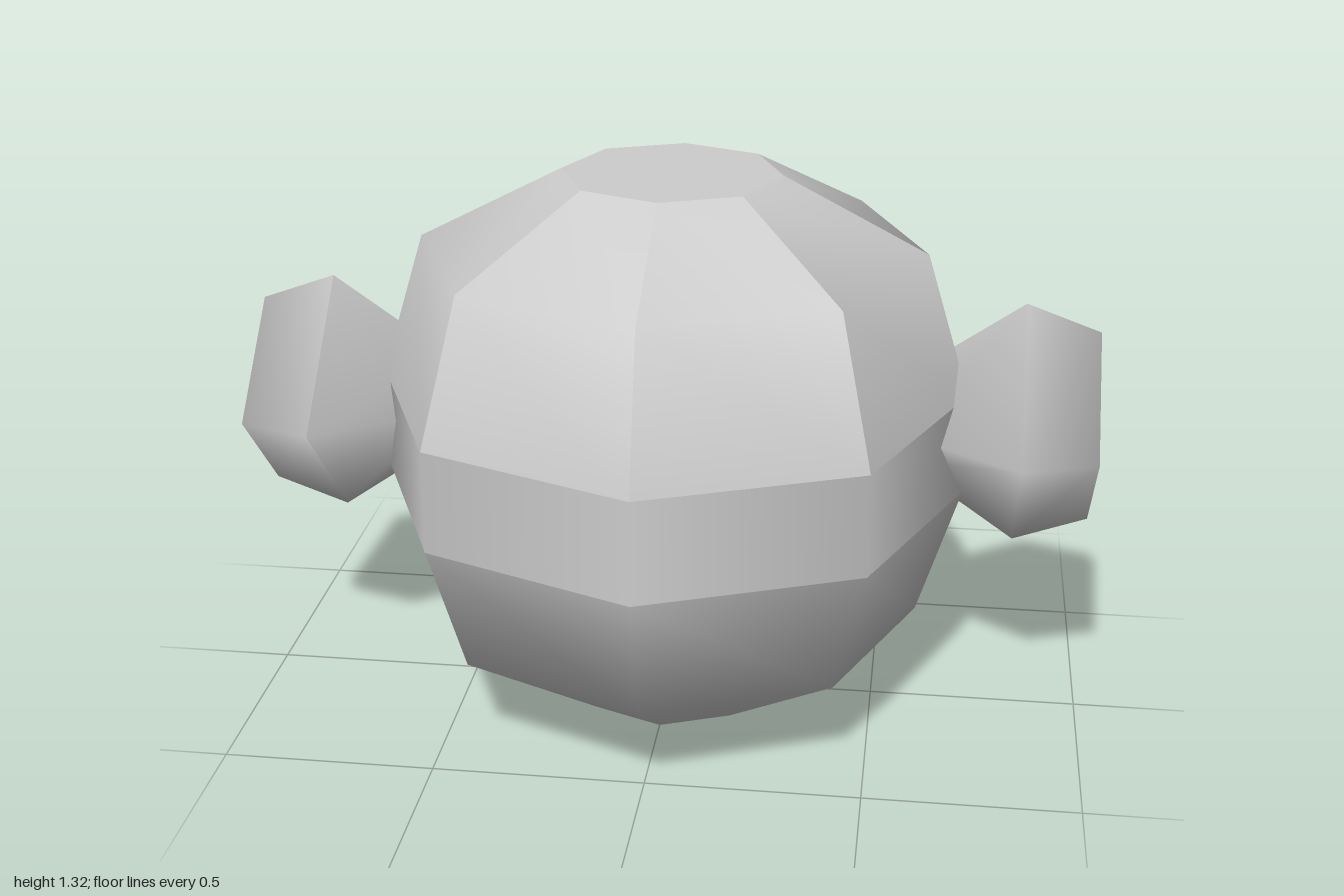
import * as THREE from 'three';

// Lathe from [radius, height] pairs, listed from bottom to top
const lathe = (profile, sides, start = 0, sweep = Math.PI * 2) =>
  new THREE.LatheGeometry(profile.map(([r, y]) => new THREE.Vector2(r, y)), sides, start, sweep);

export function createModel() {
  const model = new THREE.Group();
  const grey = new THREE.MeshStandardMaterial({ color: 0xcccccc });
  grey.name = 'light grey';

  const add = (name, geometry, parent = model) => {
    const mesh = new THREE.Mesh(geometry, grey);
    mesh.name = name;
    parent.add(mesh);
    return mesh;
  };

  // Smooth eight-sided lower bowl and belt
  add('base', lathe([[0, 0], [0.232, 0]], 8));
  add('lowerBody', lathe([[0.232, 0], [0.6, 0.24], [0.7, 0.557]], 8));
  add('belt', lathe([[0.7, 0.557], [0.7, 0.802]], 8));

  // Dome of eight separate panels, sharp where they meet
  const dome = new THREE.Group();
  dome.name = 'dome';
  model.add(dome);
  for (let i = 0; i < 8; i++) {
    const panel = lathe([[0.7, 0.802], [0.595, 1.145], [0.257, 1.32]], 1, i * Math.PI / 4, Math.PI / 4);
    panel.computeVertexNormals();
    add('domePanel', panel, dome);
  }
  add('domeTop', lathe([[0.257, 1.32], [0, 1.32]], 8), dome);

  // Four-sided side knobs, flaring out and then narrowing to a flat end
  for (const side of [1, -1]) {
    const knob = new THREE.Group();
    knob.name = side > 0 ? 'leftKnob' : 'rightKnob';
    knob.position.set(0, 0.725, -0.035);
    knob.rotation.z = -side * Math.PI / 2;
    add('knobNeck', lathe([[0, 0.55], [0.108, 0.55], [0.3, 0.825]], 4), knob);
    add('knobCap', lathe([[0.3, 0.825], [0.237, 1], [0, 1]], 4), knob);
    model.add(knob);
  }
  return model;
}
